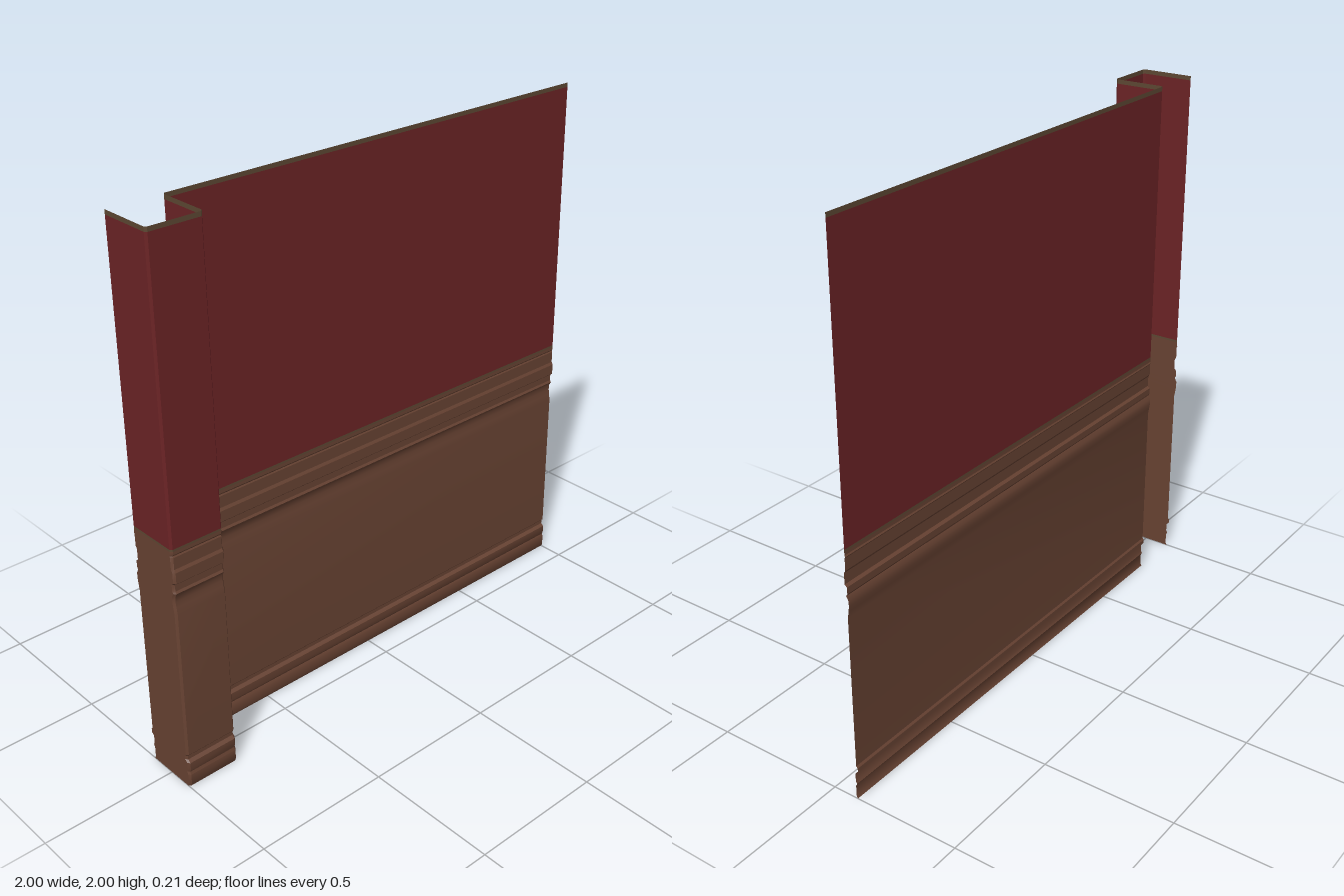
import * as THREE from 'three';
import { toCreasedNormals } from 'three/addons/utils/BufferGeometryUtils.js';

// Plan of the wall (x, z): open pilaster, return wall, long recessed panel
const PLAN = [
  [-1, -0.1], [-1, 0.092], [-0.993, 0.1], [-0.807, 0.1], [-0.8, 0.092],
  [-0.8, -0.092], [-0.793, -0.1], [1, -0.1],
];

// Wainscot moulding (height, depth offset): skirting, plain field, chair rail
const WAINSCOT = [
  [0, 0], [0.01, 0.005], [0.05, 0.005], [0.06, 0], [0.07, 0.005], [0.1, 0.005],
  [0.11, -0.006], [0.125, -0.006], [0.132, 0], [0.7, 0], [0.725, -0.004],
  [0.745, -0.007], [0.765, -0.006], [0.78, 0.002], [0.788, -0.003],
  [0.812, -0.003], [0.82, 0.006], [0.86, 0.006], [0.87, 0], [0.914, 0],
  [0.919, -0.003], [0.924, 0], [0.936, 0],
];

// Sweep a vertical profile along the plan as a thin sheet
function sheet(name, profile, material) {
  const positions = [];
  const indices = [];
  const n = PLAN.length;
  profile.forEach(([y, d]) => PLAN.forEach(([x, z]) => positions.push(x, y, z + d)));
  for (let j = 0; j < profile.length - 1; j++) {
    for (let i = 0; i < n - 1; i++) {
      const a = j * n + i;
      indices.push(a, a + 1, a + n + 1, a, a + n + 1, a + n);
    }
  }
  const geometry = new THREE.BufferGeometry();
  geometry.setAttribute('position', new THREE.Float32BufferAttribute(positions, 3));
  geometry.setIndex(indices);
  const mesh = new THREE.Mesh(toCreasedNormals(geometry, 0.5), material);
  mesh.name = name;
  return mesh;
}

function paint(name, color) {
  const material = new THREE.MeshStandardMaterial({ color, side: THREE.DoubleSide });
  material.name = name;
  return material;
}

export function createModel() {
  const wood = paint('brown wood', 0x674232);
  const red = paint('dark red wall', 0x6b2325);
  const trim = paint('olive brown trim', 0x5c4732);

  const wall = new THREE.Group();
  wall.name = 'panelledWall';
  wall.add(
    sheet('wainscot', WAINSCOT, wood),
    sheet('railTrim', [[0.936, 0], [0.944, 0]], trim),
    sheet('upperWall', [[0.944, 0], [1.984, 0]], red),
    sheet('topTrim', [[1.984, 0], [2, 0]], trim),
  );
  return wall;
}
